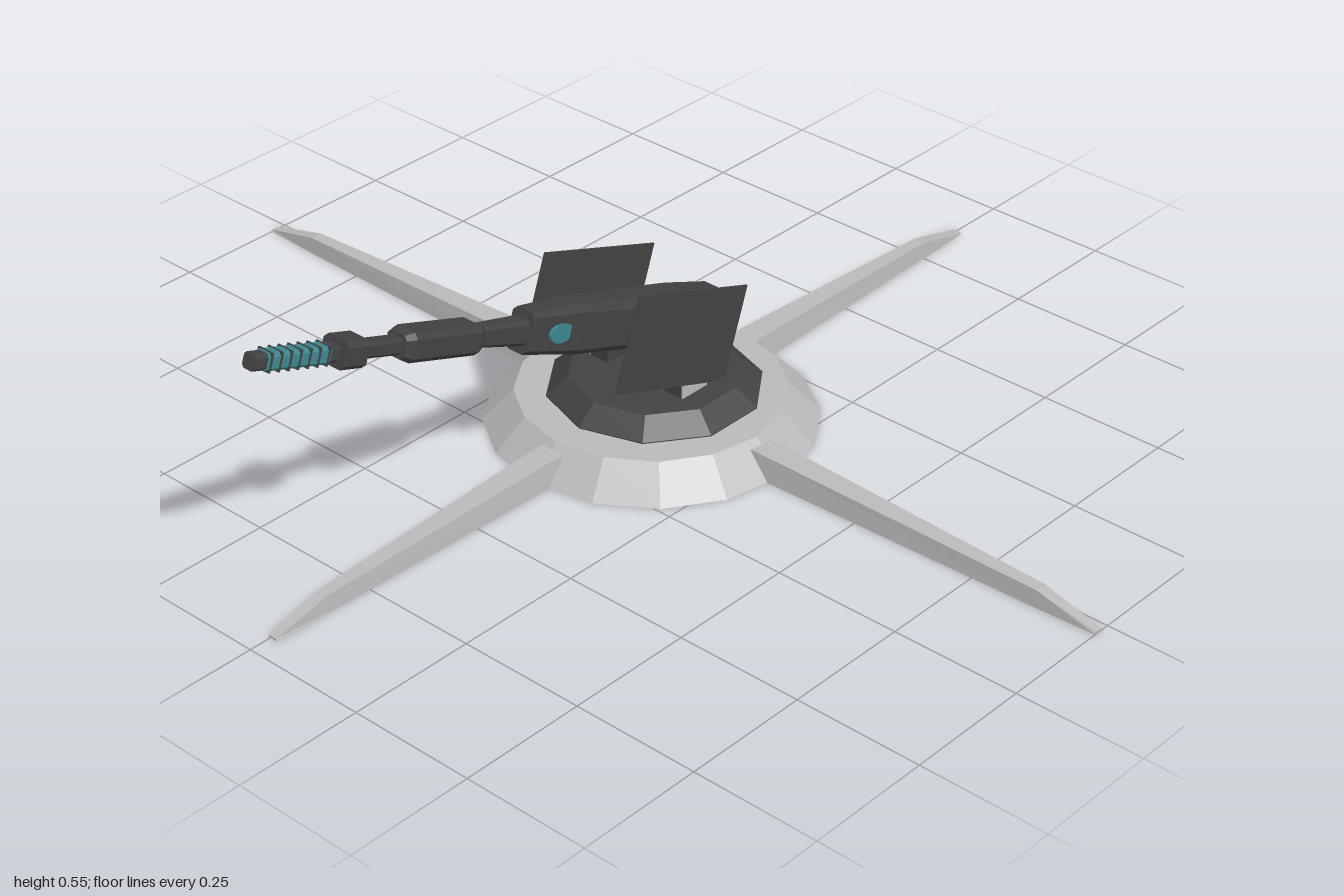
import * as THREE from 'three';

const light = new THREE.MeshStandardMaterial({ color: 0xb9b9b9 });
light.name = 'lightGrey';
light.side = THREE.DoubleSide;
light.flatShading = true;
const dark = new THREE.MeshStandardMaterial({ color: 0x424242 });
dark.name = 'darkGrey';
dark.side = THREE.DoubleSide;
dark.flatShading = true;
const teal = new THREE.MeshStandardMaterial({ color: 0x3c878f });
teal.name = 'teal';
teal.flatShading = true;

function add(parent, name, geometry, material, x = 0, y = 0, z = 0) {
  const mesh = new THREE.Mesh(geometry, material);
  mesh.name = name;
  mesh.position.set(x, y, z);
  parent.add(mesh);
  return mesh;
}

// Joins cross-sections (arrays of [x, y, z], counter-clockwise seen from +z).
function loft(rings, closed) {
  const n = rings[0].length, pos = [];
  const tri = (a, b, c) => pos.push(...a, ...b, ...c);
  for (let i = 0; i < rings.length - 1; i++) {
    for (let j = 0; j < (closed ? n : n - 1); j++) {
      const k = (j + 1) % n;
      const [a, b, c, d] = [rings[i][j], rings[i][k], rings[i + 1][k], rings[i + 1][j]];
      tri(a, b, c);
      tri(a, c, d);
    }
  }
  const first = rings[0], last = rings[rings.length - 1];
  for (let j = 1; j < n - 1; j++) {
    tri(last[0], last[j], last[j + 1]);
    if (closed) tri(first[0], first[j + 1], first[j]);
  }
  const g = new THREE.BufferGeometry();
  g.setAttribute('position', new THREE.Float32BufferAttribute(pos, 3));
  g.computeVertexNormals();
  return g;
}

// Bar along z with chamfered corners; each section is [z, width, height].
function bar(sections) {
  return loft(sections.map(([z, w, h]) => {
    const x = w / 2, y = h / 2, c = Math.min(w, h) * 0.18;
    return [[x, -y + c], [x, y - c], [x - c, y], [-x + c, y],
      [-x, y - c], [-x, -y + c], [-x + c, -y], [x - c, -y]].map(([px, py]) => [px, py, z]);
  }), true);
}

// Tapering leg, open underneath; each section is [z, top, half width].
function legGeometry(length) {
  return loft([[0.23, 0.048, 0.032], [0.28, 0.048, 0.031],
    [length - 0.12, 0.033, 0.015], [length, 0.004, 0.01]].map(([z, top, w]) =>
    [[w, 0, z], [w * 0.8, top, z], [-w * 0.8, top, z], [-w, 0, z]]), false);
}

export function createModel() {
  const model = new THREE.Group();
  model.name = 'turret';

  // Hollow base ring and the four legs
  const base = new THREE.Group();
  base.name = 'base';
  base.position.set(0.005, 0, 0.025);
  model.add(base);
  const profile = (pts) => pts.map(([r, y]) => new THREE.Vector2(r, y));
  add(base, 'baseRing', new THREE.LatheGeometry(profile([[0.308, 0], [0.25, 0.06], [0.18, 0.06]]), 16), light);
  const legs = [['frontLeg', 0.93, 0], ['leftLeg', 0.995, 1], ['backLeg', 0.9, 2], ['rightLeg', 1.005, 3]];
  for (const [name, length, turn] of legs) {
    add(base, name, legGeometry(length), light).rotation.y = turn * Math.PI / 2;
  }

  // Turntable with the cover plate beneath
  add(base, 'turntable', new THREE.LatheGeometry(
    profile([[0, 0.045], [0.2, 0.045], [0.2, 0.062], [0.16, 0.095], [0, 0.095]]), 10), dark, 0, 0, -0.008);
  add(base, 'underPlate', new THREE.BoxGeometry(0.22, 0.006, 0.075), dark, 0, 0.043, 0);

  // Support posts with pale outer faces
  for (const s of [-1, 1]) {
    const side = s > 0 ? 'left' : 'right';
    add(model, side + 'Post', new THREE.BoxGeometry(0.042, 0.115, 0.065), dark, s * 0.09, 0.143, 0.03);
    add(model, side + 'PostFace', new THREE.BoxGeometry(0.003, 0.1, 0.065), light, s * 0.1115, 0.145, 0.03);
  }
  add(model, 'rightPostCap', new THREE.BoxGeometry(0.038, 0.003, 0.06), light, -0.09, 0.202, 0.03);

  // Gun, tilted upwards
  const gun = new THREE.Group();
  gun.name = 'gun';
  gun.position.set(0.002, 0.222, 0.066);
  gun.rotation.x = -0.34;
  model.add(gun);
  add(gun, 'gunBody', bar([[-0.228, 0.1, 0.078], [-0.1, 0.092, 0.095], [0.18, 0.068, 0.095], [0.31, 0.05, 0.078]]), dark);
  add(gun, 'barrelRoot', bar([[0.3, 0.042, 0.048], [0.44, 0.032, 0.036]]), dark);
  add(gun, 'barrelSleeve', bar([[0.425, 0.045, 0.042], [0.44, 0.06, 0.054], [0.6, 0.06, 0.054], [0.618, 0.045, 0.042]]), dark);
  add(gun, 'barrel', bar([[0.6, 0.03, 0.03], [0.952, 0.028, 0.028]]), dark);
  add(gun, 'barrelCollar', bar([[0.712, 0.058, 0.05], [0.762, 0.058, 0.05]]), dark);

  // Glowing muzzle section between thin ribs
  add(gun, 'muzzleGlow', bar([[0.785, 0.032, 0.032], [0.925, 0.032, 0.032]]), teal);
  for (let i = 0; i < 7; i++) {
    add(gun, 'muzzleRib', new THREE.BoxGeometry(0.034, 0.034, 0.004), dark, 0, 0, 0.79 + i * 0.0215);
  }

  // Side shields and side lights
  for (const s of [-1, 1]) {
    const side = s > 0 ? 'left' : 'right';
    add(gun, side + 'Shield', new THREE.BoxGeometry(0.004, 0.182, 0.302), dark, s * 0.112);
    const lens = add(gun, side + 'Light', new THREE.CylinderGeometry(0.018, 0.018, 0.006, 12), teal, s * 0.0305, 0, 0.235);
    lens.rotation.z = Math.PI / 2;
    lens.scale.z = 1.8;
    lens.rotation.y = s * 0.07;
  }
  return model;
}
